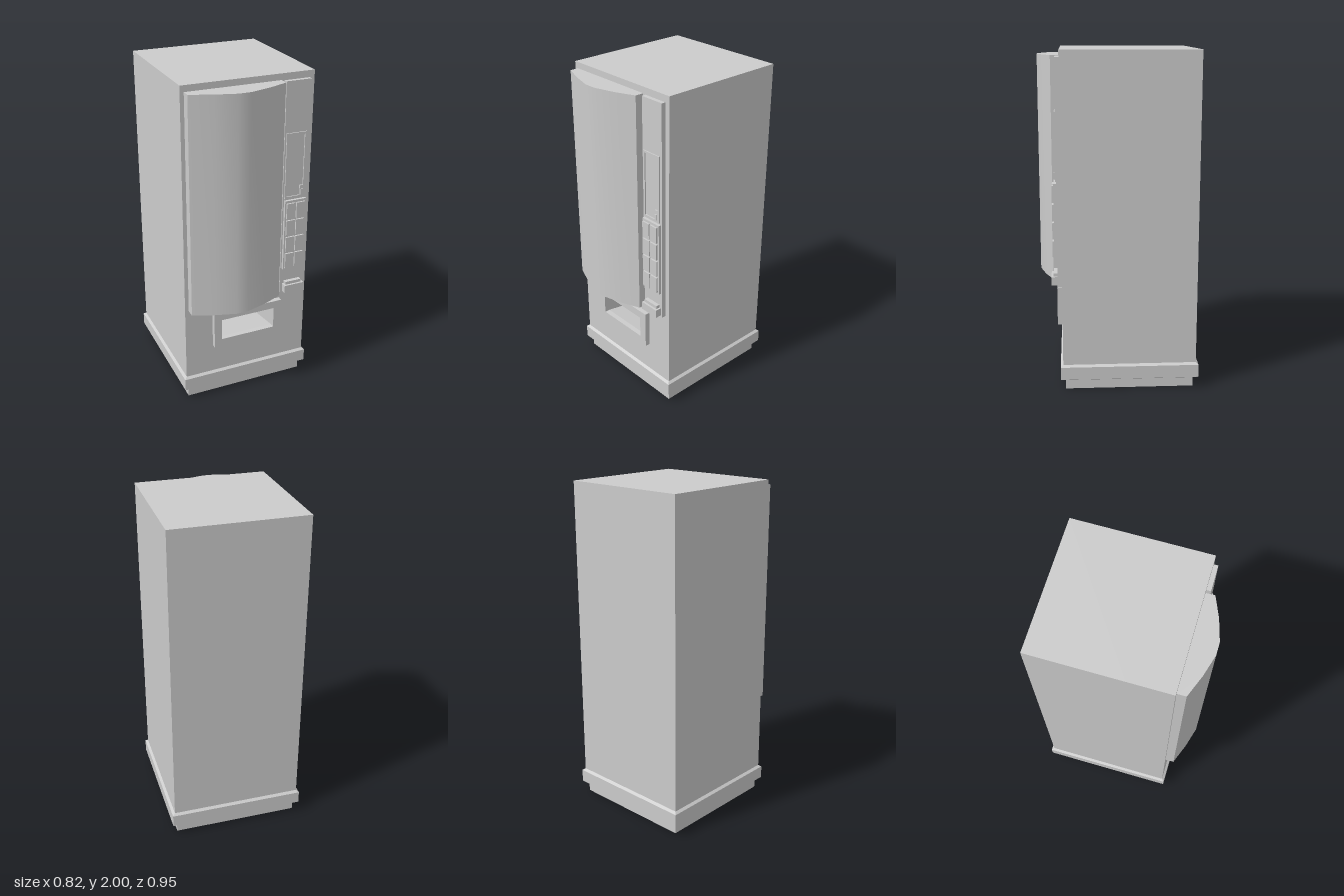
import * as THREE from 'three';
import { toCreasedNormals } from 'three/addons/utils/BufferGeometryUtils.js';

const grey = new THREE.MeshStandardMaterial({ color: 0xcccccc });
const flatGrey = new THREE.MeshStandardMaterial({ color: 0xcccccc, flatShading: true });

const CZ = -0.062;      // depth centre of the cabinet
const HALF = 0.397;     // half width and half depth of the cabinet
const FRONT = CZ + HALF;

function add(parent, name, geometry, material = grey) {
  const mesh = new THREE.Mesh(geometry, material);
  mesh.name = name;
  parent.add(mesh);
  return mesh;
}

// Box given by its lower and upper limits
function box(parent, name, x0, x1, y0, y1, z0, z1) {
  const g = new THREE.BoxGeometry(x1 - x0, y1 - y0, z1 - z0);
  g.translate((x0 + x1) / 2, (y0 + y1) / 2, (z0 + z1) / 2);
  return add(parent, name, g);
}

const rectPoints = (x0, x1, y0, y1) =>
  [[x0, y0], [x1, y0], [x1, y1], [x0, y1]].map(([x, y]) => new THREE.Vector2(x, y));

// Slab facing the front with a rectangular opening; outer and inner are [x0, x1, y0, y1]
function frame(parent, name, outer, inner, z0, z1) {
  const shape = new THREE.Shape(rectPoints(...outer));
  shape.holes.push(new THREE.Path(rectPoints(...inner).reverse()));
  const g = new THREE.ExtrudeGeometry(shape, { depth: z1 - z0, bevelEnabled: false });
  g.translate(0, 0, z0);
  return add(parent, name, g);
}

export function createModel() {
  const model = new THREE.Group();
  model.name = 'vendingMachine';

  // Cabinet: solid rear and a front section holding the delivery cavity
  const cavityBack = FRONT - 0.25;
  box(model, 'cabinetRear', -HALF, HALF, 0.14, 2, CZ - HALF, cavityBack);
  frame(model, 'cabinetFront', [-HALF, HALF, 0.14, 2], [-0.174, 0.172, 0.35, 0.533], cavityBack, FRONT);

  // Square plinth and chamfered skirt turned as a four-sided lathe
  const profile = [[0, 0], [0.382, 0], [0.382, 0.063], [0.4, 0.063], [0.412, 0.07],
    [0.412, 0.147], [0.397, 0.159], [0, 0.159]]
    .map(([r, y]) => new THREE.Vector2(r * Math.SQRT2, y));
  const base = new THREE.LatheGeometry(profile, 4);
  base.rotateY(Math.PI / 4);
  base.translate(0, 0, CZ);
  add(model, 'base', base, flatGrey);

  // Bowed display door
  const bow = [[-0.374, FRONT], [-0.374, 0.387], [-0.248, 0.436], [-0.123, 0.472],
    [-0.05, 0.472], [0.077, 0.436], [0.194, 0.387], [0.194, FRONT]];
  const door = new THREE.ExtrudeGeometry(
    new THREE.Shape(bow.map(([x, z]) => new THREE.Vector2(x, -z))),
    { depth: 1.335, bevelEnabled: false });
  door.rotateX(-Math.PI / 2);
  door.translate(0, 0.628, 0);
  add(model, 'displayDoor', toCreasedNormals(door, Math.PI / 6));

  // Delivery slot surround and sloping chute floor
  const delivery = new THREE.Group();
  delivery.name = 'deliverySlot';
  model.add(delivery);
  frame(delivery, 'slotSurround', [-0.222, 0.222, 0.347, 0.581], [-0.174, 0.172, 0.397, 0.533], FRONT, 0.367);
  const wedge = new THREE.Shape([[0, 0.35], [0.25, 0.35], [0.25, 0.397], [0, 0.352]]
    .map(([d, y]) => new THREE.Vector2(-d, y)));
  const chute = new THREE.ExtrudeGeometry(wedge, { depth: 0.346, bevelEnabled: false });
  chute.rotateY(Math.PI / 2);
  chute.translate(-0.174, 0, cavityBack);
  add(delivery, 'chuteFloor', chute);

  // Control panel
  const controls = new THREE.Group();
  controls.name = 'controlPanel';
  model.add(controls);
  box(controls, 'panel', 0.212, 0.366, 0.633, 1.96, FRONT, 0.36);
  frame(controls, 'noticeFrame', [0.222, 0.35, 1.26, 1.66], [0.234, 0.338, 1.272, 1.648], 0.36, 0.367);

  // Coin slot
  box(controls, 'coinPlate', 0.317, 0.339, 1.268, 1.333, 0.36, 0.368);
  box(controls, 'coinLever', 0.322, 0.335, 1.275, 1.31, 0.368, 0.374);

  // Keypad: two columns of four buttons
  box(controls, 'keypadPlate', 0.221, 0.358, 0.798, 1.25, 0.36, 0.377);
  for (let row = 0; row < 4; row++) {
    for (let col = 0; col < 2; col++) {
      const x = 0.23 + col * 0.062;
      const y = 0.81 + row * 0.109;
      box(controls, 'button', x, x + 0.055, y, y + 0.098, 0.377, 0.387);
    }
  }

  // Coin return cup
  box(controls, 'coinReturnCup', 0.228, 0.354, 0.643, 0.693, 0.36, 0.397);
  box(controls, 'coinReturnTop', 0.238, 0.342, 0.693, 0.712, 0.36, 0.384);

  return model;
}
